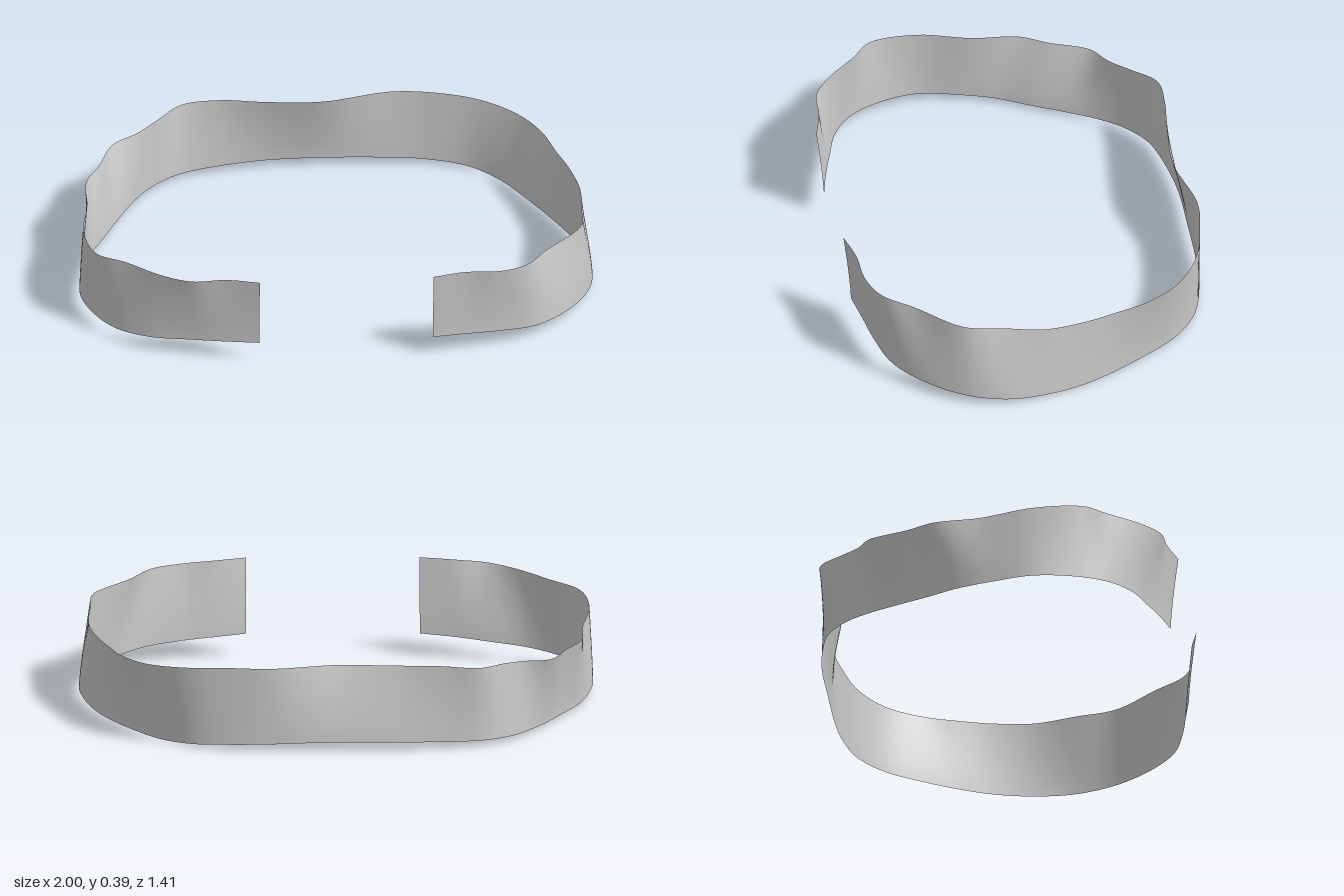
import * as THREE from 'three';

// Lower edge of the ribbon, from the left front end around the back to the right front end
const LOWER = [
  [0.345, 0.09, 0.67], [0.47, 0.083, 0.645], [0.6, 0.075, 0.62], [0.75, 0.062, 0.57], [0.88, 0.047, 0.45],
  [0.97, 0.035, 0.3], [0.997, 0.022, 0.15], [0.975, 0.011, 0], [0.93, 0.004, -0.14], [0.865, 0.001, -0.27],
  [0.78, 0.002, -0.41], [0.68, 0.006, -0.55], [0.56, 0.014, -0.645], [0.4, 0.023, -0.69], [0.25, 0.028, -0.703],
  [0, 0.036, -0.705],
  [-0.22, 0.034, -0.703], [-0.4, 0.03, -0.68], [-0.56, 0.024, -0.64], [-0.67, 0.02, -0.565], [-0.74, 0.018, -0.48],
  [-0.81, 0.016, -0.36], [-0.88, 0.016, -0.22], [-0.94, 0.018, -0.1], [-0.98, 0.022, 0.04], [-0.998, 0.032, 0.2],
  [-0.95, 0.043, 0.36], [-0.87, 0.052, 0.48], [-0.75, 0.063, 0.56], [-0.6, 0.074, 0.605], [-0.47, 0.083, 0.64],
  [-0.33, 0.09, 0.67],
];

// Upper edge, point for point above the lower one, with its soft ripples
const UPPER = [
  [0.345, 0.388, 0.7], [0.47, 0.385, 0.668], [0.6, 0.376, 0.656], [0.71, 0.37, 0.61], [0.8, 0.36, 0.49],
  [0.94, 0.35, 0.32], [0.952, 0.335, 0.17], [0.958, 0.315, 0], [0.925, 0.308, -0.16], [0.88, 0.305, -0.29],
  [0.835, 0.308, -0.42], [0.745, 0.312, -0.55], [0.6, 0.322, -0.645], [0.42, 0.332, -0.69], [0.26, 0.332, -0.704],
  [0, 0.332, -0.65],
  [-0.22, 0.332, -0.66], [-0.4, 0.335, -0.68], [-0.55, 0.325, -0.672], [-0.65, 0.318, -0.58], [-0.73, 0.308, -0.51],
  [-0.83, 0.298, -0.45], [-0.895, 0.298, -0.3], [-0.95, 0.3, -0.19], [-0.957, 0.308, -0.01], [-0.985, 0.328, 0.2],
  [-0.945, 0.345, 0.39], [-0.84, 0.358, 0.475], [-0.7, 0.37, 0.6], [-0.59, 0.378, 0.66], [-0.46, 0.387, 0.67],
  [-0.33, 0.388, 0.7],
];

const spline = (points) =>
  new THREE.CatmullRomCurve3(points.map((p) => new THREE.Vector3(...p)), false, 'centripetal');

// Lofts a surface between two edges; ripples fade towards the lower edge
function loftRibbon(lower, upper, along, across) {
  const geometry = new THREE.PlaneGeometry(1, 1, along, across);
  const position = geometry.attributes.position;
  for (let j = 0; j <= across; j++) {
    const v = j / across;
    const lean = v ** 1.35;
    for (let i = 0; i <= along; i++) {
      const a = lower.getPoint(i / along);
      const b = upper.getPoint(i / along);
      position.setXYZ(
        j * (along + 1) + i,
        THREE.MathUtils.lerp(a.x, b.x, lean),
        THREE.MathUtils.lerp(a.y, b.y, v),
        THREE.MathUtils.lerp(a.z, b.z, lean),
      );
    }
  }
  geometry.computeVertexNormals();
  return geometry;
}

export function createModel() {
  const group = new THREE.Group();
  group.name = 'openBand';

  // Thin cloth-like band, open at the front
  const material = new THREE.MeshStandardMaterial({ color: 0xcccccc, side: THREE.DoubleSide });
  const band = new THREE.Mesh(loftRibbon(spline(LOWER), spline(UPPER), 248, 14), material);
  band.name = 'band';

  group.add(band);
  return group;
}
